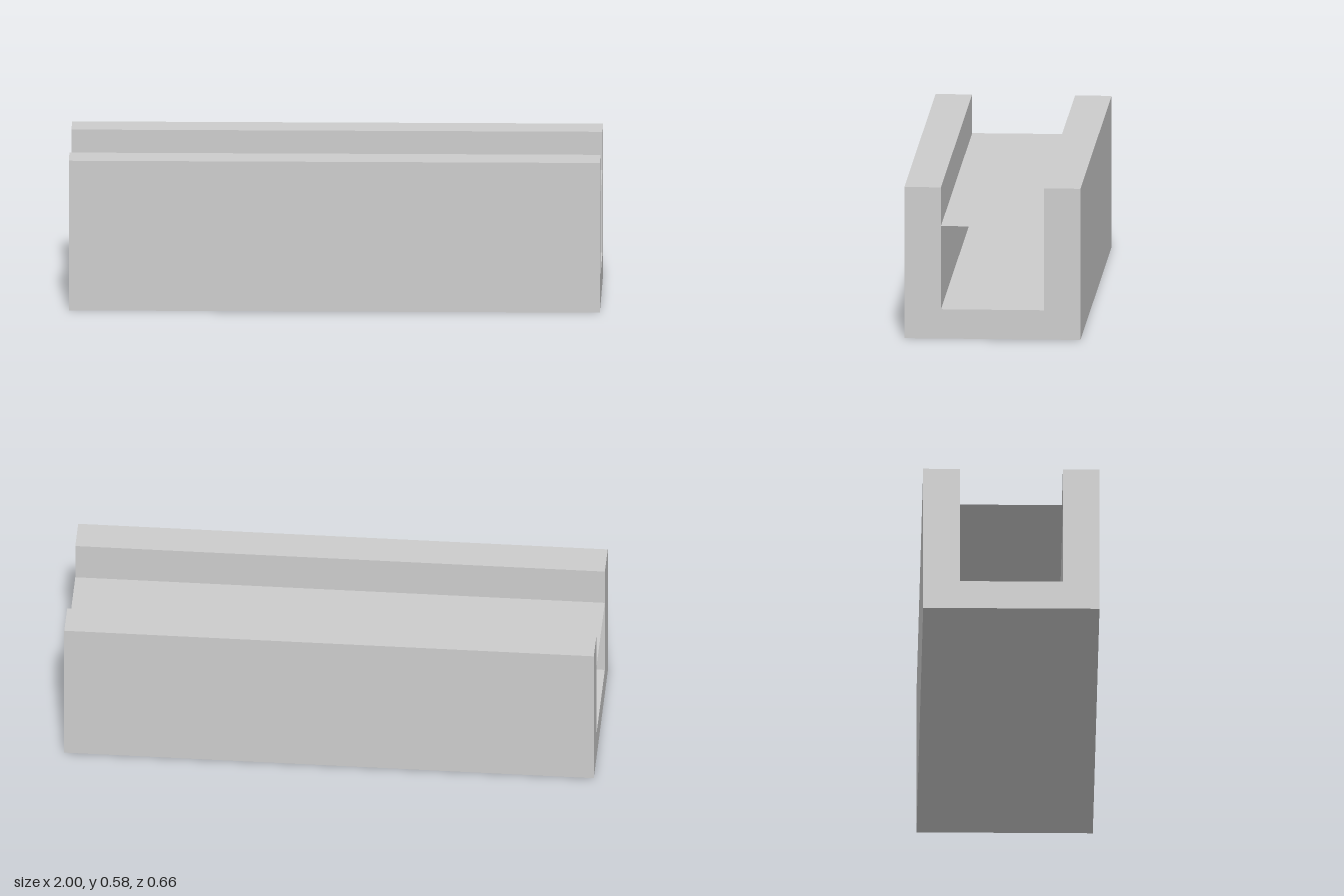
import * as THREE from 'three';

const LENGTH = 2, HEIGHT = 0.578, HALF_WIDTH = 0.332;
const HALF_GAP = 0.194, FLOOR = 0.112, SHEET_Y = 0.43;

export function createModel() {
  const group = new THREE.Group();
  group.name = 'channel';

  // U-shaped section extruded along x
  const section = new THREE.Shape([
    [-HALF_WIDTH, 0], [HALF_WIDTH, 0], [HALF_WIDTH, HEIGHT], [HALF_GAP, HEIGHT],
    [HALF_GAP, FLOOR], [-HALF_GAP, FLOOR], [-HALF_GAP, HEIGHT], [-HALF_WIDTH, HEIGHT],
  ].map(([z, y]) => new THREE.Vector2(z, y)));
  const trough = new THREE.ExtrudeGeometry(section, { depth: LENGTH, bevelEnabled: false });
  trough.translate(0, 0, -LENGTH / 2).rotateY(Math.PI / 2);
  const body = new THREE.Mesh(trough, new THREE.MeshStandardMaterial({ color: 0xcccccc }));
  body.name = 'trough';
  group.add(body);

  // Thin sheet spanning the gap between the walls, open below
  const sheet = new THREE.Mesh(
    new THREE.PlaneGeometry(LENGTH, HALF_GAP * 2).rotateX(-Math.PI / 2),
    new THREE.MeshStandardMaterial({ color: 0xcccccc, side: THREE.DoubleSide }),
  );
  sheet.name = 'surfaceSheet';
  sheet.position.y = SHEET_Y;
  group.add(sheet);

  return group;
}
